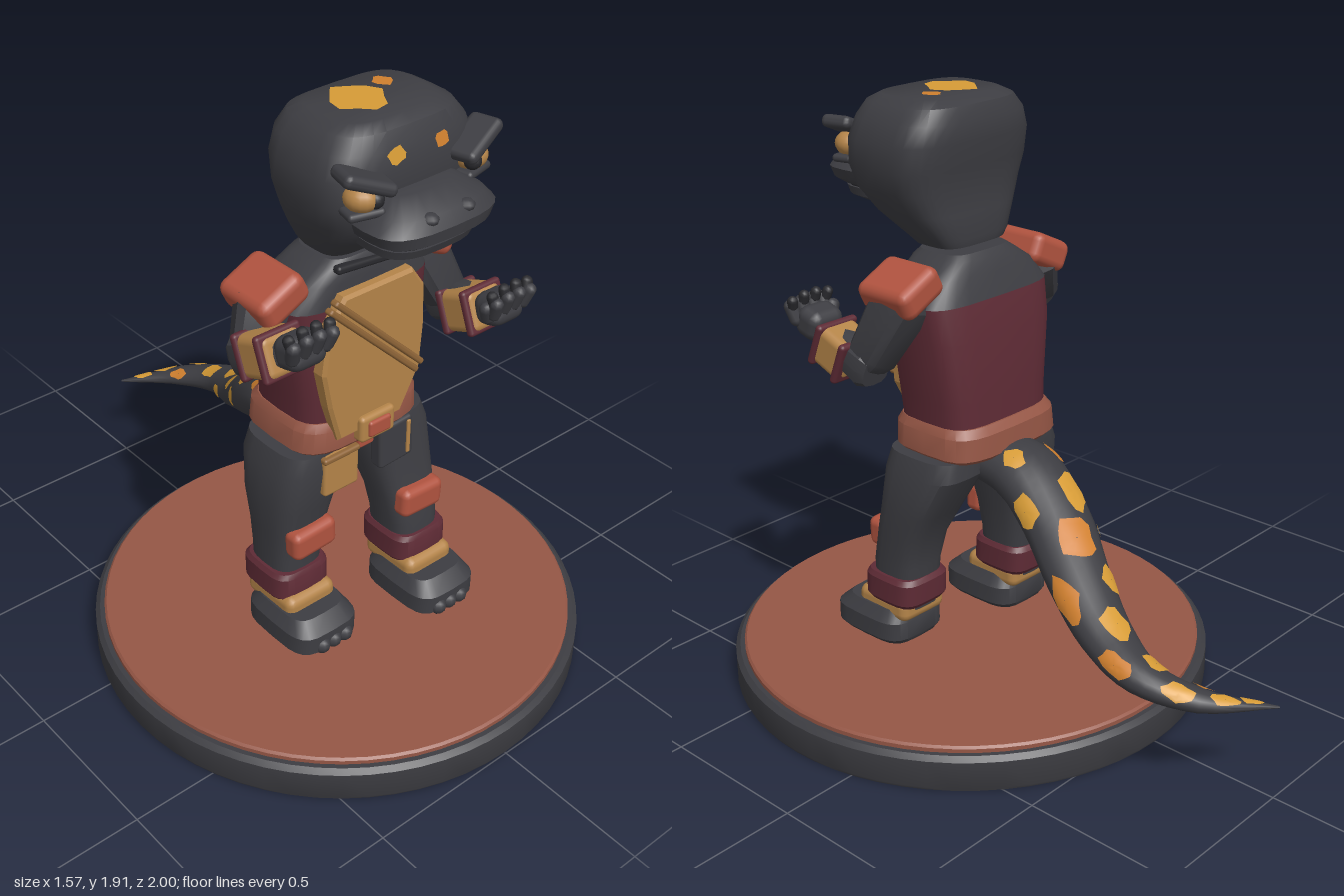
import * as THREE from 'three';
import { toCreasedNormals } from 'three/addons/utils/BufferGeometryUtils.js';
import { RoundedBoxGeometry } from 'three/addons/geometries/RoundedBoxGeometry.js';

const V = (x, y, z) => new THREE.Vector3(x, y, z);
const colour = (name, hex) => {
  const m = new THREE.MeshStandardMaterial({ color: hex });
  m.name = name;
  return m;
};

// Surface through a list of closed rings, with optional end caps
function skin(rings, caps = true) {
  const n = rings[0].length, pos = [], idx = [];
  rings.forEach(r => r.forEach(p => pos.push(p.x, p.y, p.z)));
  for (let i = 0; i < rings.length - 1; i++)
    for (let j = 0; j < n; j++) {
      const a = i * n + j, c = i * n + (j + 1) % n, b = a + n, d = c + n;
      idx.push(a, b, c, c, b, d);
    }
  if (caps) {
    const last = (rings.length - 1) * n;
    for (let j = 1; j < n - 1; j++) idx.push(0, j, j + 1, last, last + j + 1, last + j);
  }
  const g = new THREE.BufferGeometry();
  g.setAttribute('position', new THREE.Float32BufferAttribute(pos, 3));
  g.setIndex(idx);
  return toCreasedNormals(g, 0.55);
}

// Rounded-square sections stacked upwards: [y, centre x, half width, back z, front z]
function loft(sections, power = 4, n = 24) {
  const f = v => Math.sign(v) * Math.pow(Math.abs(v), 2 / power);
  return skin(sections.map(([y, cx, hx, zb, zf]) => Array.from({ length: n }, (_, j) => {
    const t = (j / n) * Math.PI * 2;
    return V(cx + hx * f(Math.cos(t)), y, (zb + zf) / 2 + (zf - zb) / 2 * f(Math.sin(t)));
  })));
}

const box = (w, h, d, r = 0.02) => new RoundedBoxGeometry(w, h, d, 2, r);
const wobble = (i, seed) => 1 + 0.14 * Math.sin(i * 2.3 + seed);

function blob(rx, ry, seed) {
  const pts = Array.from({ length: 11 }, (_, i) => {
    const t = (i / 11) * Math.PI * 2, w = wobble(i, seed);
    return new THREE.Vector2(Math.cos(t) * rx * w, Math.sin(t) * ry * w);
  });
  return new THREE.ShapeGeometry(new THREE.Shape(pts));
}

export function createModel() {
  const charcoal = colour('charcoal', 0x3d3d42), black = colour('black', 0x29292d);
  const maroon = colour('maroon', 0x5e2b35), brown = colour('brown leather', 0x955645);
  const red = colour('red armour', 0xb0533f), tan = colour('tan', 0xb48449);
  const strapTan = colour('dark tan', 0x8f6538), gold = colour('gold spots', 0xd69b36);
  const orange = colour('orange spots', 0xcf7f2e);

  const model = new THREE.Group();
  const part = (name, geo, mat, pos = [0, 0, 0], rot = [0, 0, 0], parent = model) => {
    const m = new THREE.Mesh(geo, mat);
    m.name = name;
    m.position.set(...pos);
    m.rotation.set(...rot);
    parent.add(m);
    return m;
  };
  // Tapered limb segment between two points
  const limb = (name, a, b, ra, rb, mat) => {
    const l = a.distanceTo(b);
    const m = part(name, loft([[0, 0, ra * 0.8, -ra * 0.8, ra * 0.8], [l * 0.12, 0, ra, -ra, ra],
      [l * 0.88, 0, rb, -rb, rb], [l, 0, rb * 0.75, -rb * 0.75, rb * 0.75]], 3, 12), mat, a.toArray());
    m.quaternion.setFromUnitVectors(V(0, 1, 0), b.clone().sub(a).normalize());
    return m;
  };

  // Stand
  const disc = (pts) => toCreasedNormals(new THREE.LatheGeometry(pts.map(p => new THREE.Vector2(...p)), 64), 0.5);
  part('standRim', disc([[0, 0], [0.78, 0], [0.785, 0.01], [0.785, 0.1], [0.77, 0.115], [0, 0.115]]), charcoal, [0, 0, 0.215]);
  part('standTop', disc([[0.755, 0.11], [0.755, 0.128], [0.748, 0.135], [0, 0.135]]), brown, [0, 0, 0.215]);

  // Torso, belt and pelvis
  part('vest', loft([[0.9, 0, 0.215, 0.035, 0.345], [1, 0, 0.225, 0.04, 0.35], [1.2, 0, 0.255, 0.05, 0.352],
    [1.31, 0, 0.265, 0.075, 0.345]]), maroon);
  part('shoulders', loft([[1.31, 0, 0.265, 0.075, 0.345], [1.38, 0, 0.215, 0.1, 0.34], [1.425, 0, 0.15, 0.12, 0.335],
    [1.442, 0, 0.125, 0.135, 0.325]]), charcoal);
  part('collar', box(0.24, 0.025, 0.03, 0.01), black, [-0.01, 1.415, 0.335], [0, 0, -0.1]);
  part('belt', loft([[0.815, 0, 0.225, 0.02, 0.35], [0.83, 0, 0.24, 0.005, 0.362], [0.9, 0, 0.235, 0.01, 0.362],
    [0.925, 0, 0.22, 0.03, 0.35]]), brown);
  part('pelvis', loft([[0.7, 0, 0.05, 0.1, 0.27], [0.76, 0, 0.15, 0.07, 0.31], [0.84, 0, 0.2, 0.05, 0.33]]), charcoal);
  part('beltTab', box(0.06, 0.05, 0.03, 0.008), red, [0, 0.8, 0.33]);

  // Chest plate and diagonal strap
  const plate = new THREE.Shape([[-0.13, 0.88], [0.1, 0.88], [0.17, 1.01], [0.18, 1.15], [0.175, 1.28], [0.13, 1.345],
    [-0.12, 1.345], [-0.17, 1.27], [-0.19, 1.12], [-0.165, 1.0]].map(p => new THREE.Vector2(...p)));
  part('chestPlate', new THREE.ExtrudeGeometry(plate, { depth: 0.07, bevelSize: 0.01, bevelThickness: 0.01, bevelSegments: 1 }),
    tan, [0, 0, 0.295]);
  for (const o of [-0.014, 0.014])
    part('strap', box(0.48, 0.02, 0.03, 0.008), strapTan, [-0.01 + o * 0.7, 1.185 + o * 0.7, 0.38], [0, 0, -0.77]);

  // Buckle and pouches
  part('buckleFrame', box(0.135, 0.09, 0.05, 0.015), tan, [0, 0.88, 0.37]);
  part('bucklePlate', box(0.085, 0.055, 0.05, 0.01), red, [0, 0.88, 0.38]);
  part('tanPouch', box(0.135, 0.14, 0.05, 0.012), tan, [-0.11, 0.74, 0.335]);
  part('tanPouchFlap', box(0.14, 0.02, 0.054, 0.008), strapTan, [-0.11, 0.8, 0.336]);
  part('darkPouch', box(0.135, 0.15, 0.05, 0.012), charcoal, [0.11, 0.745, 0.335], [0, 0, 0.05]);
  part('pouchStripe', box(0.014, 0.12, 0.01, 0.004), tan, [0.155, 0.75, 0.361]);

  // Legs and feet; the left one steps forward
  for (const [s, dz] of [[1, 0.1], [-1, 0]]) {
    const z = 0.21 + dz;
    part('leg', loft([[0.27, s * 0.205, 0.085, z - 0.09, z + 0.09], [0.42, s * 0.2, 0.09, z - 0.1, z + 0.09],
      [0.52, s * 0.195, 0.1, 0.1 + dz * 0.9, 0.31 + dz * 0.7], [0.62, s * 0.187, 0.113, 0.075 + dz * 0.6, 0.33 + dz * 0.3],
      [0.76, s * 0.17, 0.122, 0.055, 0.35], [0.82, s * 0.16, 0.11, 0.06, 0.34]], 3.2), charcoal);
    part('kneePad', box(0.165, 0.1, 0.07, 0.025), red, [s * 0.195, 0.51, 0.315 + dz * 0.6], [0, 0, s * -0.05]);
    part('shinWrap', loft([[0.285, s * 0.205, 0.095, z - 0.1, z + 0.1], [0.3, s * 0.205, 0.105, z - 0.11, z + 0.11],
      [0.37, s * 0.205, 0.105, z - 0.112, z + 0.108], [0.385, s * 0.205, 0.095, z - 0.1, z + 0.1]]), maroon);
    part('ankleWrap', box(0.19, 0.08, 0.22, 0.03), tan, [s * 0.205, 0.27, z + 0.025]);
    part('foot', loft([[0.148, s * 0.207, 0.11, z - 0.06, z + 0.22], [0.165, s * 0.207, 0.125, z - 0.07, z + 0.235],
      [0.225, s * 0.207, 0.125, z - 0.07, z + 0.235], [0.265, s * 0.207, 0.1, z - 0.05, z + 0.19]]), charcoal);
    for (const t of [-1, 0, 1])
      part('toe', new THREE.SphereGeometry(0.028, 10, 8), charcoal, [s * 0.2 + t * 0.045, 0.178, z + 0.222]);
  }

  // Arms; the right one is raised
  for (const [s, dy, dz] of [[1, 0, 0], [-1, 0.1, -0.07]]) {
    const elbow = V(s * 0.36, 1.13 + dy * 0.7, 0.29 + dz * 0.6), wrist = V(s * 0.355, 1.19 + dy, 0.47 + dz);
    part('shoulderPad', box(0.17, 0.1, 0.21, 0.03), red, [s * 0.285, 1.37, 0.215], [0, 0, s * -0.45]);
    limb('upperArm', V(s * 0.27, 1.36, 0.2), elbow, 0.085, 0.068, charcoal);
    limb('forearm', elbow.clone().add(V(0, -0.01, -0.04)), wrist, 0.065, 0.05, charcoal);
    const cuff = new THREE.Group();
    cuff.name = 'gauntlet';
    cuff.position.set(s * 0.357, 1.155 + dy, 0.4 + dz);
    cuff.rotation.x = -0.38;
    model.add(cuff);
    part('gauntletSleeve', box(0.14, 0.13, 0.14, 0.025), tan, [0, 0, 0], [0, 0, 0], cuff);
    for (const z of [-0.055, 0.05]) part('gauntletBand', box(0.158, 0.142, 0.026, 0.012), maroon, [0, 0, z], [0, 0, 0], cuff);
    const hand = new THREE.Group();
    hand.name = 'hand';
    hand.position.set(s * 0.347, 1.225 + dy, 0.525 + dz);
    model.add(hand);
    part('palm', box(0.13, 0.1, 0.1, 0.035), charcoal, [0, -0.01, -0.01], [-0.3, 0, 0], hand);
    for (let i = 0; i < 4; i++) {
      const x = (i - 1.5) * 0.042;
      part('finger', new THREE.CapsuleGeometry(0.021, 0.045, 4, 8), charcoal, [x, 0.03 - Math.abs(x) * 0.15, 0.035], [0.35, 0, -x * 3], hand);
      part('fingertip', new THREE.CapsuleGeometry(0.017, 0.02, 4, 8), black, [x * 1.1, 0.065 - Math.abs(x) * 0.2, 0.03], [-0.3, 0, -x * 3], hand);
    }
    part('thumb', new THREE.CapsuleGeometry(0.021, 0.04, 4, 8), charcoal, [-s * 0.07, 0, 0.01], [0.2, 0, s * 0.4], hand);
  }

  // Head
  part('head', loft([[1.46, 0, 0.135, 0.15, 0.335], [1.485, 0, 0.155, 0.145, 0.36], [1.56, 0, 0.21, 0.155, 0.45],
    [1.63, 0, 0.25, 0.16, 0.5], [1.7, 0, 0.272, 0.15, 0.515], [1.78, 0, 0.272, 0.137, 0.515], [1.84, 0, 0.25, 0.137, 0.5],
    [1.885, 0, 0.215, 0.155, 0.478], [1.905, 0, 0.175, 0.19, 0.445]], 3.6, 32), charcoal);
  part('upperSnout', loft([[1.607, 0, 0.17, 0.4, 0.63], [1.625, 0, 0.195, 0.4, 0.655], [1.66, 0, 0.21, 0.4, 0.66],
    [1.695, 0, 0.18, 0.4, 0.635], [1.73, 0, 0.12, 0.4, 0.56]], 3), charcoal);
  part('mouthLine', loft([[1.59, 0, 0.155, 0.4, 0.615], [1.615, 0, 0.16, 0.4, 0.62]], 3), black);
  part('lowerJaw', loft([[1.555, 0, 0.13, 0.38, 0.575], [1.572, 0, 0.16, 0.38, 0.615], [1.598, 0, 0.165, 0.38, 0.625]], 3), charcoal);
  for (const s of [1, -1]) {
    const nostril = part('nostril', new THREE.SphereGeometry(0.026, 10, 8), charcoal, [s * 0.065, 1.685, 0.625]);
    nostril.scale.set(1, 0.7, 1);
    const eye = part('eye', new THREE.SphereGeometry(0.05, 16, 12), tan, [s * 0.195, 1.745, 0.505]);
    eye.scale.set(1, 0.8, 1);
    part('pupil', new THREE.SphereGeometry(0.026, 12, 10), black, [s * 0.175, 1.743, 0.535]);
    part('lowerLid', box(0.11, 0.025, 0.07, 0.012), charcoal, [s * 0.195, 1.705, 0.51], [0, s * 0.25, 0]);
    part('brow', box(0.165, 0.04, 0.1, 0.018), charcoal, [s * 0.195, 1.795, 0.515], [0, s * 0.25, s * 0.38]);
  }

  // Head spots
  part('crownSpotLarge', blob(0.08, 0.085, 1), gold, [-0.04, 1.909, 0.31], [-Math.PI / 2, 0, 0]);
  part('crownSpotSmall', blob(0.028, 0.032, 2), orange, [0.085, 1.909, 0.27], [-Math.PI / 2, 0, 0]);
  part('foreheadSpotRight', blob(0.031, 0.024, 3), gold, [-0.08, 1.828, 0.511], [-0.24, 0, 0]);
  part('foreheadSpotLeft', blob(0.024, 0.022, 4), orange, [0.08, 1.828, 0.511], [-0.24, 0, 0]);

  // Tail swept along a curve
  const curve = new THREE.CatmullRomCurve3([V(0, 0.78, 0.12), V(0.005, 0.75, -0.04), V(0.05, 0.655, -0.2), V(0.13, 0.54, -0.36),
    V(0.195, 0.44, -0.52), V(0.23, 0.385, -0.68), V(0.17, 0.345, -0.84), V(0, 0.31, -1)]);
  const radii = [0.115, 0.122, 0.112, 0.1, 0.086, 0.068, 0.046, 0.004];
  const tailPoint = (u, a, lift = 0) => {
    const k = Math.min(u * 7, 6.999), i = Math.floor(k), r = radii[i] + (radii[i + 1] - radii[i]) * (k - i);
    const t = curve.getTangent(u), side = t.clone().cross(V(0, 1, 0)).normalize(), up = side.clone().cross(t);
    return curve.getPoint(u).addScaledVector(side, (r + lift) * Math.cos(a)).addScaledVector(up, (r * 0.72 + lift) * Math.sin(a));
  };
  part('tail', skin(Array.from({ length: 36 }, (_, i) =>
    Array.from({ length: 20 }, (_, j) => tailPoint(i / 35, (j / 20) * Math.PI * 2)))), charcoal);

  // Tail spots laid on its surface: [along, around, length, spread]
  [[0.13, 1.0, 0.03, 0.3], [0.14, 2.4, 0.03, 0.25], [0.25, 2.1, 0.05, 0.4], [0.26, 0.45, 0.045, 0.42], [0.36, 1.65, 0.05, 0.55],
    [0.33, 3.1, 0.03, 0.4], [0.46, 2.4, 0.035, 0.4], [0.48, 0.5, 0.055, 0.5], [0.58, 1.7, 0.05, 0.5], [0.61, 3.1, 0.03, 0.4],
    [0.67, 0.55, 0.042, 0.5], [0.73, 2.0, 0.04, 0.5], [0.81, 0.8, 0.036, 0.6], [0.86, 2.3, 0.025, 0.5],
    [0.9, 1.1, 0.026, 0.6], [0.95, 1.6, 0.02, 0.7]].forEach(([u, a, su, sa], k) => {
    const rings = [0.02, 0.35, 0.7, 1].map(q => Array.from({ length: 12 }, (_, j) => {
      const t = (j / 12) * Math.PI * 2, w = q * wobble(j, k);
      return tailPoint(u + Math.cos(t) * su * w, a + Math.sin(t) * sa * w, 0.004);
    }));
    part('tailSpot', skin(rings, false), k % 3 === 1 ? orange : gold);
  });

  return model;
}
